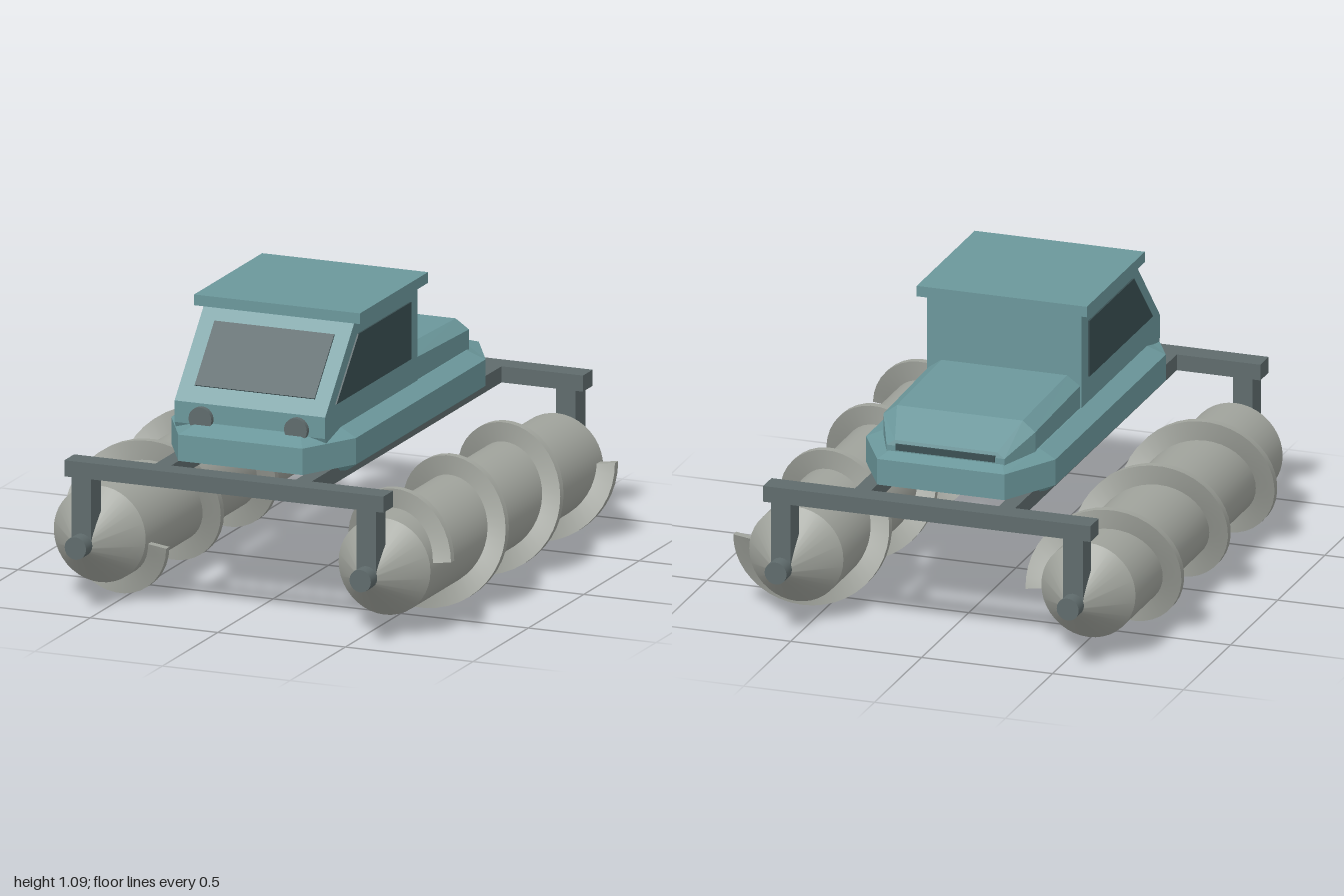
import * as THREE from 'three';
import { toCreasedNormals } from 'three/addons/utils/BufferGeometryUtils.js';

const paint = (name, color) => Object.assign(new THREE.MeshStandardMaterial({ color }), { name });

// Collects quads into a flat-faced geometry
function quadGeometry(fill) {
  const pos = [];
  fill((a, b, c, d) => pos.push(...a, ...b, ...c, ...a, ...c, ...d));
  const g = new THREE.BufferGeometry();
  g.setAttribute('position', new THREE.Float32BufferAttribute(pos, 3));
  g.computeVertexNormals();
  return g;
}

// Symmetric body from stacked half-outlines, each listed front to back on +x
function loft(halves) {
  const rings = halves.map((h) => [...h, ...h.map(([x, y, z]) => [-x, y, z]).reverse()]);
  const n = rings[0].length;
  return quadGeometry((quad) => {
    for (let r = 0; r < rings.length - 1; r++) {
      const a = rings[r], b = rings[r + 1];
      for (let i = 0; i < n; i++) {
        const j = (i + 1) % n;
        quad(a[i], a[j], b[j], b[i]);
      }
    }
    const low = rings[0], top = rings[rings.length - 1];
    for (let i = 0; i < n / 2 - 1; i++) {
      quad(top[i], top[i + 1], top[n - 2 - i], top[n - 1 - i]);
      quad(low[n - 1 - i], low[n - 2 - i], low[i + 1], low[i]);
    }
  });
}

// Side profile of [z, y] points, extruded across x
function profile(points, width) {
  const shape = new THREE.Shape(points.map(([z, y]) => new THREE.Vector2(z, y)));
  const g = new THREE.ExtrudeGeometry(shape, { depth: width, bevelEnabled: false });
  return g.translate(0, 0, -width / 2).rotateY(-Math.PI / 2);
}

// Rectangular blade wound three turns around z; hand is +1 or -1
function helixBlade(hand) {
  const turns = 3, steps = 40 * turns, inner = 0.17, outer = 0.252, half = 0.015;
  const section = (i) => {
    const t = i / steps, z = -0.74 + 1.48 * t;
    const angle = hand * (t * turns * Math.PI * 2 - 0.14);
    const p = (r, dz) => [r * Math.cos(angle), r * Math.sin(angle), z + dz];
    return [p(inner, -half), p(outer, -half), p(outer, half), p(inner, half)];
  };
  const g = quadGeometry((quad) => {
    const face = (a, b, c, d) => (hand > 0 ? quad(a, b, c, d) : quad(d, c, b, a));
    for (let i = 0; i < steps; i++) {
      const p = section(i), q = section(i + 1);
      for (let k = 0; k < 4; k++) {
        const m = (k + 1) % 4;
        face(p[k], q[k], q[m], p[m]);
      }
    }
    face(...section(0));
    face(...section(steps).reverse());
  });
  return toCreasedNormals(g, 0.6);
}

export function createModel() {
  const body = paint('teal body', 0x6b979b);
  const glass = paint('dark glass', 0x3a4f52);
  const steel = paint('frame steel', 0x5f6b6c);
  const metal = paint('drum metal', 0xa0a39c);

  const model = new THREE.Group();
  model.name = 'screwDriveVehicle';
  const add = (name, geometry, material, x = 0, y = 0, z = 0, parent = model) => {
    const mesh = new THREE.Mesh(geometry, material);
    mesh.name = name;
    mesh.position.set(x, y, z);
    parent.add(mesh);
    return mesh;
  };
  const box = (name, material, [x0, x1], [y0, y1], [z0, z1]) =>
    add(name, new THREE.BoxGeometry(x1 - x0, y1 - y0, z1 - z0), material,
      (x0 + x1) / 2, (y0 + y1) / 2, (z0 + z1) / 2);

  // Hull with cut corners, tucked-in floor and bevelled deck
  const outline = (x, xEnd, zSide, zEnd, y) =>
    [[xEnd, y, zEnd], [x, y, zSide], [x, y, -zSide], [xEnd, y, -zEnd]];
  add('hull', loft([
    outline(0.325, 0.2, 0.58, 0.7, 0.535),
    outline(0.362, 0.243, 0.585, 0.797, 0.562),
    outline(0.362, 0.243, 0.585, 0.797, 0.66),
    outline(0.295, 0.2, 0.57, 0.715, 0.69),
  ]), body);

  // Cab, roof and windows
  add('cab', profile([[-0.125, 0.64], [0.69, 0.64], [0.71, 0.68], [0.71, 0.76], [0.435, 1.06], [-0.125, 1.06]], 0.59), body);
  box('roof', body, [-0.325, 0.325], [1.05, 1.09], [-0.15, 0.465]);
  const screen = add('windscreen', new THREE.BoxGeometry(0.47, 0.265, 0.009), glass, 0, 0.908, 0.575);
  screen.rotation.x = -Math.atan2(0.275, 0.3);
  for (const s of [-1, 1]) {
    add('sideWindow', profile([[-0.055, 0.787], [0.62, 0.787], [0.42, 1.0], [-0.055, 1.0]], 0.008), glass, s * 0.297);
  }

  // Rear engine hood with vent
  add('engineHood', loft([
    [[0.29, 0.66, -0.1], [0.29, 0.66, -0.6], [0.225, 0.66, -0.747]],
    [[0.29, 0.775, -0.1], [0.29, 0.76, -0.6], [0.225, 0.7, -0.747]],
    [[0.24, 0.81, -0.1], [0.24, 0.797, -0.595], [0.195, 0.72, -0.742]],
  ]), body);
  box('rearVent', glass, [-0.19, 0.19], [0.684, 0.708], [-0.752, -0.744]);

  // Headlights
  for (const s of [-1, 1]) {
    add('headlight', new THREE.CylinderGeometry(0.045, 0.045, 0.03, 20).rotateX(Math.PI / 2), steel, s * 0.187, 0.705, 0.715);
  }

  // Frame: rails, cross beams and posts
  const side = 0.558;
  for (const s of [-1, 1]) {
    box('frameRail', steel, [s * 0.275 - 0.031, s * 0.275 + 0.031], [0.5, 0.56], [-0.88, 0.88]);
    const z = [s * 0.901 - 0.044, s * 0.901 + 0.044];
    box('crossBeam', steel, [-0.625, 0.625], [0.5, 0.56], z);
    for (const t of [-1, 1]) box('drumPost', steel, [t * side - 0.038, t * side + 0.038], [0.25, 0.5], z);
  }

  // Screw drums with pointed ends, axles and opposite-handed blades
  const drumProfile = [[0, -0.945], [0.04, -0.945], [0.18, -0.78], [0.18, 0.78], [0.04, 0.945], [0, 0.945]]
    .map(([r, y]) => new THREE.Vector2(r, y));
  const drumGeometry = toCreasedNormals(new THREE.LatheGeometry(drumProfile, 40).rotateX(Math.PI / 2), 0.5);
  for (const s of [-1, 1]) {
    const screw = new THREE.Group();
    screw.name = s > 0 ? 'leftScrew' : 'rightScrew';
    screw.position.set(s * side, 0.252, 0);
    model.add(screw);
    add('drum', drumGeometry, metal, 0, 0, 0, screw);
    add('blade', helixBlade(-s), metal, 0, 0, 0, screw);
    add('axle', new THREE.CylinderGeometry(0.042, 0.042, 2, 20).rotateX(Math.PI / 2), steel, 0, 0, 0, screw);
  }
  return model;
}
